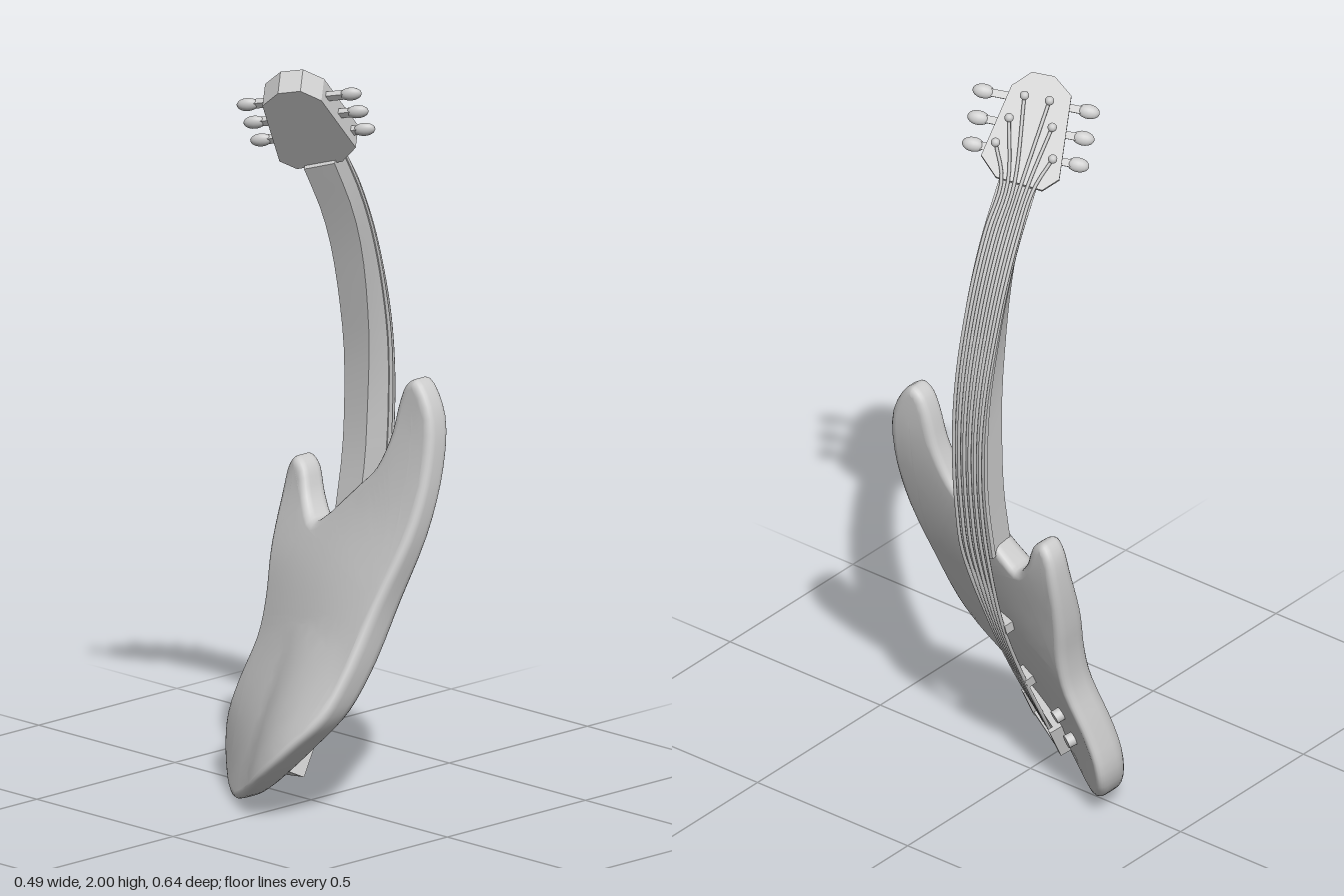
import * as THREE from 'three';
import { mergeVertices, toCreasedNormals } from 'three/addons/utils/BufferGeometryUtils.js';

const V = (x, y, z) => new THREE.Vector3(x, y, z);
const grey = new THREE.MeshStandardMaterial({ color: 0xcccccc });

// smooth function of height, knots every 0.2 from y = -0.2 to 1.4
function track(values) {
  const curve = new THREE.SplineCurve(values.map((v, i) => new THREE.Vector2(i, v)));
  return y => curve.getPoint(THREE.MathUtils.clamp((y + 0.2) / 1.6, 0, 1)).y;
}
const bend = track([-0.26, -0.15, -0.043, 0.065, 0.134, 0.184, 0.2, 0.2, 0.2]);
const twist = track([-0.9, -0.74, -0.53, -0.39, -0.25, -0.16, -0.03, 0, 0]);
const thick = track([0.1, 0.105, 0.115, 0.115, 0.105, 0.08, 0.074, 0.07, 0.07]);
const faceX = (y, z) => bend(y) + twist(y) * (z > 0 ? z - 0.6 * z * z : z);

// slight belly low on the back
const belly = (y, z) => 0.025 * Math.max(0, 1 - ((z - 0.08) / 0.15) ** 2) * Math.max(0, 1 - ((y - 0.22) / 0.25) ** 2);

function mesh(name, geometry) {
  const m = new THREE.Mesh(geometry, grey);
  m.name = name;
  return m;
}

// orient an object: local y along "up", local z along "normal"
function orient(obj, pos, up, normal) {
  const z = normal.clone().normalize();
  const x = up.clone().cross(z).normalize();
  const y = z.clone().cross(x);
  obj.quaternion.setFromRotationMatrix(new THREE.Matrix4().makeBasis(x, y, z));
  obj.position.copy(pos);
  return obj;
}

// seat an object on the curved front of the body
function onBody(obj, y, z) {
  const fy = (faceX(y + 0.02, z) - faceX(y - 0.02, z)) / 0.04;
  return orient(obj, V(faceX(y, z), y, z), V(fy, 1, 0), V(1, -fy, -twist(y)));
}

// halve edges until all are short, so that the flat slab can be bent
function refine(geometry, limit) {
  const p = geometry.attributes.position, out = [];
  const split = (a, b, c) => {
    const ab = a.distanceTo(b), bc = b.distanceTo(c), ca = c.distanceTo(a);
    const m = Math.max(ab, bc, ca);
    if (m <= limit) { out.push(...a.toArray(), ...b.toArray(), ...c.toArray()); return; }
    if (m === bc) return split(b, c, a);
    if (m === ca) return split(c, a, b);
    const mid = a.clone().add(b).multiplyScalar(0.5);
    split(a, mid, c);
    split(mid, b, c);
  };
  const at = i => new THREE.Vector3().fromBufferAttribute(p, i);
  for (let i = 0; i < p.count; i += 3) split(at(i), at(i + 1), at(i + 2));
  const g = new THREE.BufferGeometry();
  g.setAttribute('position', new THREE.Float32BufferAttribute(out, 3));
  return g;
}

// two-horned slab with rounded rim, bent and twisted
function makeBody() {
  const outline = [ // z, y
    [0.245, 1.145], [0.3, 1.07], [0.32, 0.92], [0.313, 0.76], [0.275, 0.57], [0.255, 0.39],
    [0.23, 0.29], [0.165, 0.207], [0.075, 0.12], [-0.02, 0.053], [-0.14, 0.002], [-0.235, 0.014],
    [-0.3, 0.07], [-0.32, 0.15], [-0.29, 0.27], [-0.25, 0.39], [-0.245, 0.49], [-0.255, 0.6],
    [-0.255, 0.73], [-0.24, 0.82], [-0.21, 0.85], [-0.175, 0.83], [-0.143, 0.76], [-0.095, 0.71],
    [-0.05, 0.735], [0, 0.78], [0.06, 0.835], [0.117, 0.89], [0.16, 0.98], [0.185, 1.08], [0.21, 1.13],
  ];
  const curve = new THREE.CatmullRomCurve3(outline.map(([z, y]) => V(-z, y, 0)), true, 'centripetal');
  const pts = curve.getPoints(110).slice(0, -1).map(p => new THREE.Vector2(p.x, p.y));
  const slab = new THREE.ExtrudeGeometry(new THREE.Shape(pts), {
    depth: 0.041, bevelThickness: 0.032, bevelSize: 0.022, bevelOffset: -0.022, bevelSegments: 5,
  });
  const g = mergeVertices(refine(slab, 0.06));
  const p = g.attributes.position;
  for (let i = 0; i < p.count; i++) {
    const z = -p.getX(i), y = p.getY(i), w = (p.getZ(i) + 0.032) / 0.105;
    p.setXYZ(i, faceX(y, z) - (thick(y) + belly(y, z)) * (1 - w), y, z);
  }
  g.computeVertexNormals();
  return mesh('body', g);
}

// neck centre line along the playing surface (close to an arc), with its twisting frame
const neckLine = new THREE.CatmullRomCurve3([
  V(0.191, 0.73, 0.02), V(0.219, 0.9, 0.02), V(0.228, 1.05, 0.018), V(0.22, 1.2, 0.018),
  V(0.19, 1.35, 0.019), V(0.144, 1.5, 0.022), V(0.092, 1.62, 0.026), V(0.018, 1.755, 0.028),
]);
function neckFrame(s) {
  const p = neckLine.getPointAt(s), t = neckLine.getTangentAt(s);
  const w = V(0, 0, 1).lerp(V(0.54, 0.16, 0.83), THREE.MathUtils.smoothstep(p.y, 0.95, 1.8));
  const n = t.clone().cross(w).normalize();
  return { p, n, w: n.clone().cross(t) };
}
const onNeck = (s, across, out) => {
  const { p, n, w } = neckFrame(s);
  return p.addScaledVector(w, across).addScaledVector(n, out);
};

// sweep a counterclockwise section [across, out] along the neck
function sweepNeck(name, section, steps) {
  const pos = [], idx = [], k = section.length;
  for (let i = 0; i <= steps; i++)
    for (const [a, o] of section) pos.push(...onNeck(i / steps, a, o).toArray());
  for (let i = 0; i < steps; i++)
    for (let j = 0; j < k; j++) {
      const a = i * k + j, b = i * k + (j + 1) % k;
      idx.push(a, b, b + k, a, b + k, a + k);
    }
  const top = steps * k;
  for (let j = 1; j < k - 1; j++) idx.push(0, j + 1, j, top, top + j, top + j + 1);
  const g = new THREE.BufferGeometry();
  g.setAttribute('position', new THREE.Float32BufferAttribute(pos, 3));
  g.setIndex(idx);
  return mesh(name, toCreasedNormals(g, 0.5));
}

// string posts on the headstock, in its own frame
const posts = [[0.071, -0.07], [0.054, 0.01], [0.034, 0.076], [-0.032, 0.077], [-0.06, 0.013], [-0.082, -0.056]];

function makeHeadstock() {
  const head = new THREE.Group();
  head.name = 'headstock';
  const pts = [[0.098, -0.118], [0.087, 0.1], [0.035, 0.141], [-0.025, 0.141], [-0.07, 0.097],
    [-0.112, -0.095], [-0.064, -0.143], [0.06, -0.154]];
  const plate = new THREE.ExtrudeGeometry(
    new THREE.Shape(pts.map(p => new THREE.Vector2(...p))), { depth: 0.075, bevelEnabled: false });
  head.add(mesh('headPlate', plate.translate(0, 0, -0.0375)));
  for (const [x, y] of posts) {
    const stem = mesh('stringPost', new THREE.CylinderGeometry(0.006, 0.006, 0.025, 10).rotateX(Math.PI / 2));
    stem.position.set(x, y, 0.045);
    const ball = mesh('postCap', new THREE.SphereGeometry(0.012, 14, 10));
    ball.position.set(x, y, 0.055);
    head.add(stem, ball);
  }
  for (const side of [-1, 1])
    for (const y of [-0.07, 0, 0.07]) {
      const shaft = mesh('tunerShaft', new THREE.BoxGeometry(0.07, 0.02, 0.016));
      shaft.position.set(side * 0.09, y, 0);
      const key = mesh('tunerKey', new THREE.SphereGeometry(1, 16, 12).scale(0.029, 0.019, 0.015));
      key.position.set(side * 0.138, y, 0);
      head.add(shaft, key);
    }
  return orient(head, V(-0.0875, 1.86, 0.07), V(-0.55, 0.81, 0.2), V(0.65, 0.55, -0.53));
}

function makeBridge() {
  const bridge = new THREE.Group();
  bridge.name = 'bridge';
  const box = (name, w, h, d, x, y, z) => {
    const m = mesh(name, new THREE.BoxGeometry(w, h, d));
    m.position.set(x, y, z);
    bridge.add(m);
  };
  box('bridgePlate', 0.175, 0.1, 0.03, 0, 0, 0.005);
  box('bridgeLip', 0.175, 0.015, 0.04, 0, -0.043, 0.012);
  for (const s of [-1, 1]) box('bridgeSide', 0.014, 0.1, 0.045, s * 0.081, 0, 0.012);
  return onBody(bridge, 0.135, -0.02);
}

export function createModel() {
  const model = new THREE.Group();
  model.name = 'bentGuitar';
  model.add(makeBody(), makeHeadstock(), makeBridge());
  model.add(sweepNeck('neck', [[0.047, -0.012], [-0.047, -0.012], [-0.042, -0.085], [0.042, -0.085]], 16));
  model.add(sweepNeck('fingerboard', [[0.05, 0], [-0.05, 0], [-0.05, -0.014], [0.05, -0.014]], 24));

  // pickups and knobs
  for (const y of [0.3, 0.5])
    model.add(onBody(mesh('pickup', new THREE.BoxGeometry(0.05, 0.03, 0.05)), y, -0.013));
  for (const [y, z] of [[0.255, -0.155], [0.185, -0.185]])
    model.add(onBody(mesh('knob', new THREE.CylinderGeometry(0.018, 0.018, 0.044, 16).rotateX(Math.PI / 2)), y, z));

  // strings: bridge, over the body, along the neck, to the posts
  const head = model.getObjectByName('headstock');
  head.updateMatrix();
  posts.forEach(([px, py], i) => {
    const o = (i - 2.5) / 2.5;
    const pts = [[0.1, 0.0, 0.022], [0.3, 0.008, 0.03], [0.5, 0.015, 0.036]].map(([y, zc, half]) =>
      V(faceX(y, zc + half * o) + 0.028, y, zc + half * o));
    for (let s = 0; s <= 8; s++) pts.push(onNeck(s / 8, o * 0.043, 0.009));
    pts.push(V(px, py, 0.05).applyMatrix4(head.matrix));
    const path = new THREE.CatmullRomCurve3(pts, false, 'centripetal');
    model.add(mesh('string', new THREE.TubeGeometry(path, 70, 0.005, 6)));
  });
  return model;
}
